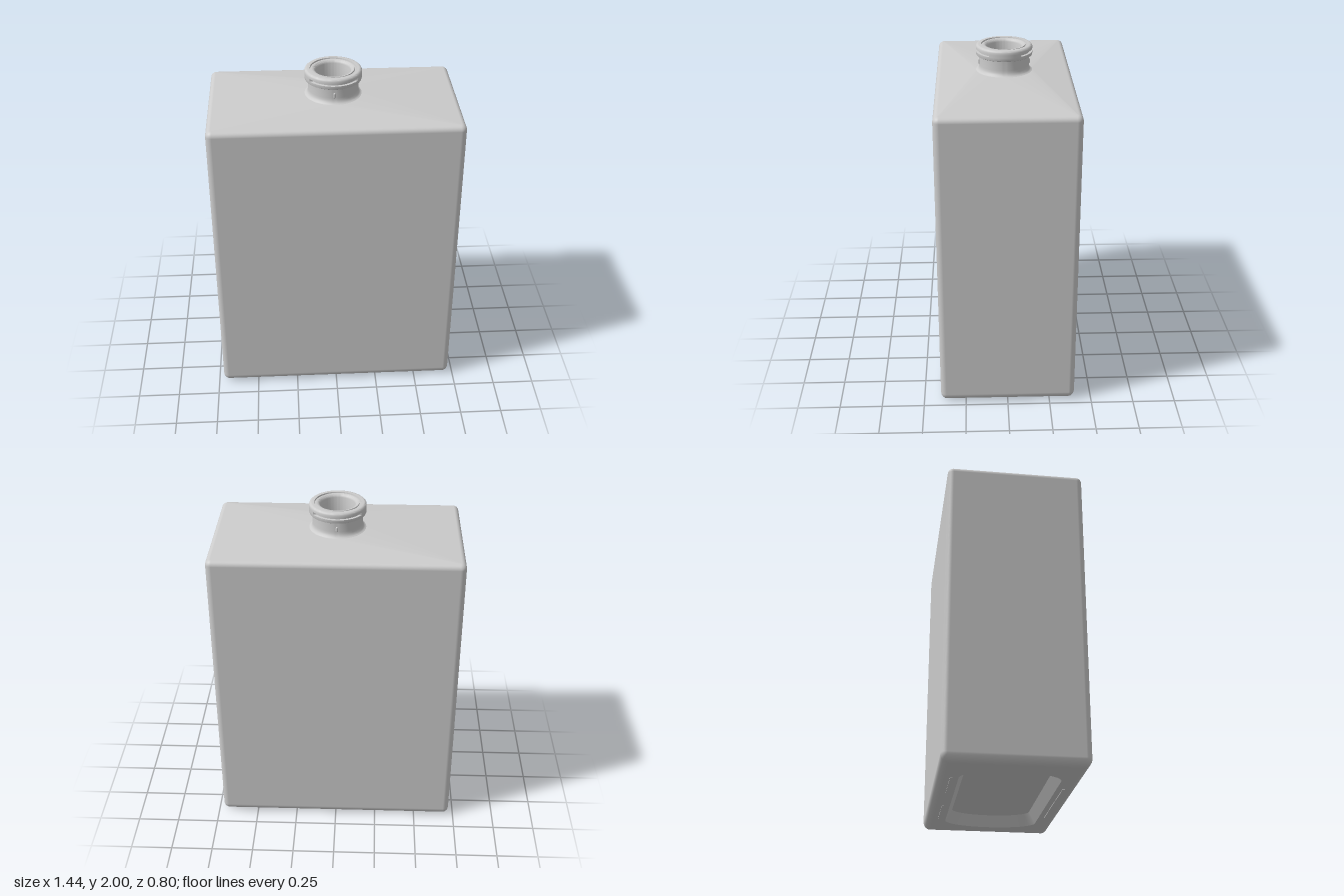
import * as THREE from 'three';
import { toCreasedNormals } from 'three/addons/utils/BufferGeometryUtils.js';

const CORNER = 10; // segments per rounded corner

// Horizontal ring: a rectangle with elliptical corners (a circle when all sizes match)
function ring(hx, hz, rx, rz, y) {
  const pts = [];
  for (let q = 0; q < 4; q++) {
    const sx = q === 0 || q === 3 ? 1 : -1;
    const sz = q < 2 ? 1 : -1;
    for (let i = 0; i <= CORNER; i++) {
      const a = (q + i / CORNER) * Math.PI / 2;
      pts.push([sx * (hx - rx) + rx * Math.cos(a), y, sz * (hz - rz) + rz * Math.sin(a)]);
    }
  }
  return pts;
}

// Skin through rings; a repeated ring leaves a hard edge
function loft(rings) {
  const n = rings[0].length, index = [];
  for (let i = 0; i < rings.length - 1; i++) {
    for (let j = 0; j < n; j++) {
      const a = i * n + j, b = i * n + (j + 1) % n;
      index.push(a, a + n, b, b, a + n, b + n);
    }
  }
  const g = new THREE.BufferGeometry();
  g.setAttribute('position', new THREE.Float32BufferAttribute(rings.flat(2), 3));
  g.setIndex(index);
  g.computeVertexNormals();
  return g;
}

// Rings of a quarter-round edge, between angles a0 and a1, on a box of half size hx, hz
function edgeRings(hx, hz, r, cy, a0, a1, corner) {
  return Array.from({ length: 9 }, (_, i) => {
    const a = a0 + (a1 - a0) * i / 8;
    const inset = r * (1 - Math.cos(a));
    const c = Math.max(corner - inset, 0.006);
    return ring(hx - inset, hz - inset, c, c, cy + r * Math.sin(a));
  });
}

export function createModel() {
  const group = new THREE.Group();
  const material = new THREE.MeshStandardMaterial({ color: 0xcccccc });
  const add = (name, geometry, parent = group) => {
    const mesh = new THREE.Mesh(geometry, material);
    mesh.name = name;
    parent.add(mesh);
    return mesh;
  };
  const circle = (r, y) => ring(r, r, r, r, y);

  // Outer body: recessed base, rounded edges, shoulder sloping up to the neck
  const floor = ring(0.53, 0.24, 0.11, 0.235, 0.07);
  const lip = ring(0.57, 0.28, 0.13, 0.275, 0.004);
  add('body', loft([
    ring(0, 0, 0, 0, 0.075), floor, floor, lip, lip,
    ...edgeRings(0.72, 0.4, 0.05, 0.054, -Math.PI / 2, 0, 0.035),
    ...edgeRings(0.72, 0.4, 0.032, 1.78, 0, Math.PI / 2 - 0.08, 0.035),
    circle(0.163, 1.846),
  ]));

  // Inner walls, seen through the mouth
  add('cavity', loft([
    circle(0.1, 1.8),
    ...edgeRings(0.66, 0.34, 0.03, 1.74, Math.PI / 2, 0, 0.035),
    ...edgeRings(0.66, 0.34, 0.04, 0.17, 0, -Math.PI / 2, 0.045),
    ring(0, 0, 0, 0, 0.13),
  ]));

  // Neck with collar, grooved rim and bore
  const profile = [
    [0.166, 1.845], [0.157, 1.849], [0.15, 1.856], [0.146, 1.868], [0.145, 1.88],
    [0.145, 1.937], [0.157, 1.937], [0.162, 1.94], [0.164, 1.946],
    [0.164, 1.96], [0.164, 1.9605], [0.164, 1.9745], [0.164, 1.975],
    [0.164, 1.987], [0.161, 1.994], [0.155, 1.999], [0.148, 2], [0.133, 2],
    [0.131, 1.992], [0.124, 1.992], [0.122, 1.998], [0.113, 1.997], [0.104, 1.99],
    [0.1, 1.98], [0.1, 1.8],
  ].map(([r, y]) => new THREE.Vector2(r, y));
  const neck = new THREE.LatheGeometry(profile, 96);
  const pos = neck.attributes.position;
  // Press a slot into the front and back of the collar
  for (let i = 0; i < pos.count; i++) {
    const x = pos.getX(i), y = pos.getY(i), z = pos.getZ(i);
    if (y > 1.9602 && y < 1.9748 && Math.abs(x) < 0.131) {
      const k = 0.149 / Math.hypot(x, z);
      pos.setXYZ(i, x * k, y, z * k);
    }
  }
  add('neck', toCreasedNormals(neck, 0.6));

  // Small locating nubs on the neck
  for (const s of [1, -1]) {
    const nub = add('neckNub', new THREE.CapsuleGeometry(0.007, 0.018, 6, 12));
    nub.position.set(0, 1.895, s * 0.145);
  }

  // Thin standing ribs under the base: [centre x, z, length]
  const ribs = new THREE.Group();
  ribs.name = 'baseRibs';
  group.add(ribs);
  for (const [x, z, length] of [[0.27, -0.32, 0.31], [-0.29, -0.32, 0.29], [0, 0.32, 0.6]]) {
    const rib = add('baseRib', new THREE.BoxGeometry(length, 0.008, 0.014), ribs);
    rib.position.set(x, 0.004, z);
  }
  return group;
}
